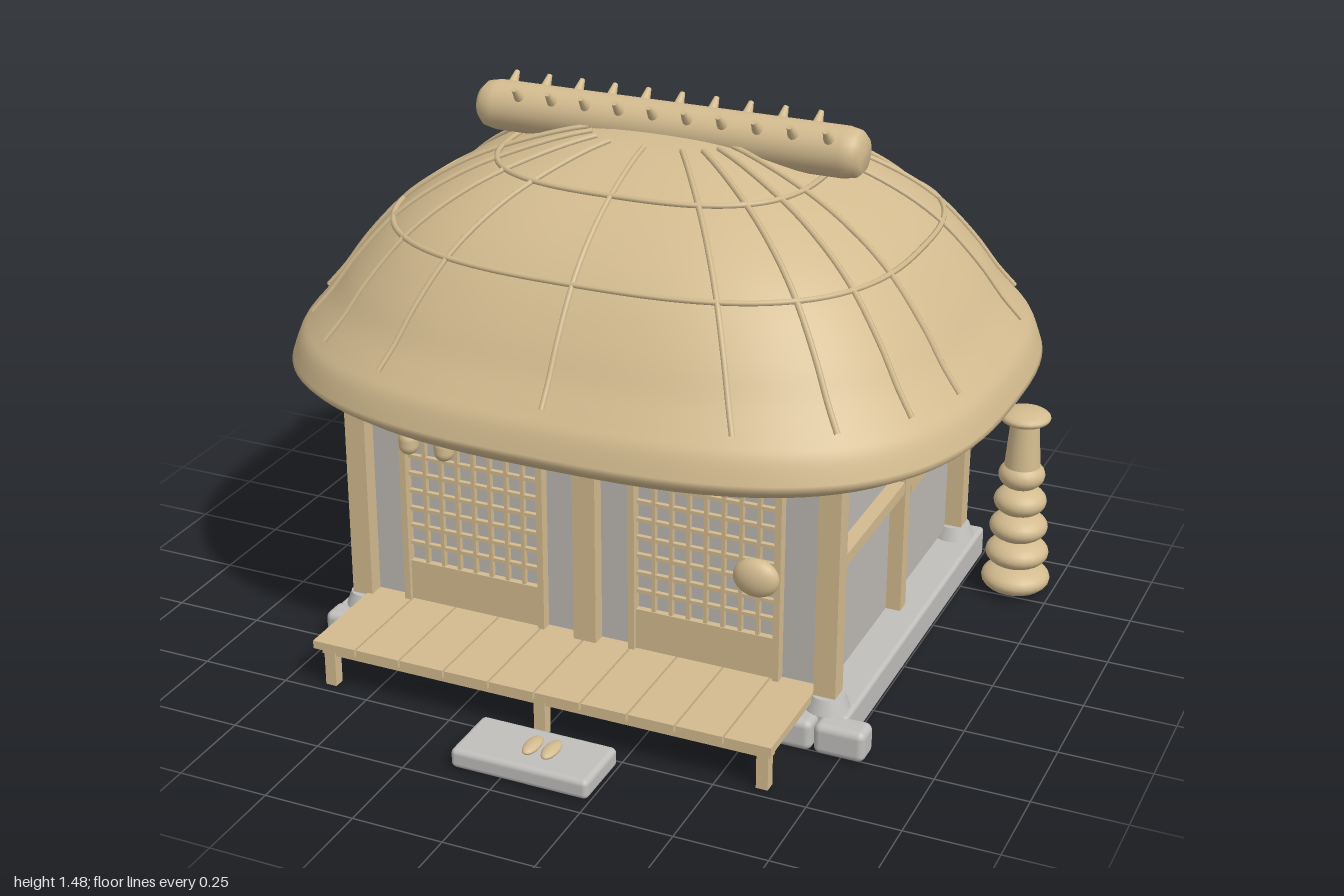
import * as THREE from 'three';
import { mergeVertices } from 'three/addons/utils/BufferGeometryUtils.js';
import { RoundedBoxGeometry } from 'three/addons/geometries/RoundedBoxGeometry.js';

const mat = (name, color) => Object.assign(new THREE.MeshStandardMaterial({ color }), { name });
const straw = mat('straw and wood', 0xd3bb8f);
const plaster = mat('plaster', 0xbdbab4);
const stone = mat('stone', 0xc0bfbc);
const CZ = -0.11; // roof centre in z

export function createModel() {
  const model = new THREE.Group();
  model.name = 'thatchedCottage';

  const group = (name) => {
    const g = new THREE.Group();
    g.name = name;
    model.add(g);
    return g;
  };
  const add = (parent, name, geo, m, x = 0, y = 0, z = 0) => {
    const mesh = new THREE.Mesh(geo, m);
    mesh.name = name;
    mesh.position.set(x, y, z);
    parent.add(mesh);
    return mesh;
  };
  // box given by its limits
  const box = (parent, name, m, x0, x1, y0, y1, z0, z1, r = 0) => {
    const [w, h, d] = [x1 - x0, y1 - y0, z1 - z0];
    const geo = r ? new RoundedBoxGeometry(w, h, d, 3, r) : new THREE.BoxGeometry(w, h, d);
    return add(parent, name, geo, m, (x0 + x1) / 2, (y0 + y1) / 2, (z0 + z1) / 2);
  };
  const ball = (parent, name, m, x, y, z, rx, ry, rz) => {
    const b = add(parent, name, new THREE.SphereGeometry(1, 24, 16), m, x, y, z);
    b.scale.set(rx, ry, rz);
    return b;
  };

  // --- thatched roof: a lathe squared off into a rounded rectangle
  const soft = (v) => Math.sign(v) * Math.abs(v) ** 0.714;
  const roofPoint = (s, a, y) =>
    new THREE.Vector3(0.988 * s * soft(Math.sin(a)), y, CZ + 0.835 * s * soft(Math.cos(a)));
  const v2 = (p) => new THREE.Vector2(...p);
  const slope = new THREE.SplineCurve([[1, 0.8], [0.975, 0.87], [0.94, 0.915], [0.885, 0.98], [0.82, 1.07],
    [0.72, 1.18], [0.6, 1.267], [0.447, 1.34], [0.22, 1.405], [0, 1.42]].map(v2)).getPoints(40);
  const under = [[0, 0.94], [0.5, 0.92], [0.7, 0.86], [0.82, 0.785], [0.87, 0.755], [0.9, 0.748],
    [0.94, 0.757], [0.985, 0.785]].map(v2);
  const roofGeo = new THREE.LatheGeometry([...under, ...slope], 96);
  const rp = roofGeo.attributes.position;
  for (let i = 0; i < rp.count; i++) {
    const [x, y, z] = [rp.getX(i), rp.getY(i), rp.getZ(i)];
    const p = roofPoint(Math.hypot(x, z), Math.atan2(x, z), y);
    rp.setXYZ(i, p.x, p.y, p.z);
  }
  roofGeo.deleteAttribute('uv');
  roofGeo.deleteAttribute('normal');
  const roofSmooth = mergeVertices(roofGeo, 1e-5);
  roofSmooth.computeVertexNormals();
  const roof = group('roof');
  add(roof, 'thatch', roofSmooth, straw);

  // ropes lying on the thatch
  const slopeY = (s) => {
    const i = slope.findIndex((p) => p.x <= s);
    const a = slope[Math.max(i - 1, 0)], b = slope[i];
    return a === b ? b.y : THREE.MathUtils.lerp(a.y, b.y, (a.x - s) / (a.x - b.x));
  };
  const rope = (name, pts, closed) =>
    add(roof, name, new THREE.TubeGeometry(new THREE.CatmullRomCurve3(pts, closed), closed ? 120 : 32, 0.008, 6, closed), straw);
  const sideAngles = [24, 44, 62, 77, 103, 122, 142, 162];
  for (const deg of [0, 180, ...sideAngles, ...sideAngles.map((d) => -d)]) {
    const pts = [];
    for (let i = 0; i <= 14; i++) {
      const s = 0.2 + (0.74 * i) / 14;
      pts.push(roofPoint(s, THREE.MathUtils.degToRad(deg), slopeY(s) + 0.004));
    }
    rope('downRope', pts, false);
  }
  for (const s of [0.447, 0.72]) {
    const pts = [];
    for (let i = 0; i < 80; i++) pts.push(roofPoint(s, (i / 80) * Math.PI * 2, slopeY(s) + 0.005));
    rope('ringRope', pts, true);
  }

  // --- ridge log with pegs on both shoulders
  const ridge = group('ridge');
  const logProfile = [[0, -0.555], [0.045, -0.552], [0.062, -0.535], [0.069, -0.5],
    [0.069, 0.5], [0.062, 0.535], [0.045, 0.552], [0, 0.555]].map(v2);
  add(ridge, 'ridgeLog', new THREE.LatheGeometry(logProfile, 28), straw, -0.003, 1.415, CZ).rotation.z = -Math.PI / 2;
  for (const side of [1, -1]) {
    for (let i = 0; i < 10; i++) {
      const x = (side > 0 ? -0.42 : -0.49) + i * 0.0985;
      const peg = add(ridge, 'peg', new THREE.CylinderGeometry(0.007, 0.018, 0.055, 10), straw,
        x, 1.47, CZ + side * 0.06);
      peg.rotation.x = side * 0.8;
    }
  }

  // --- walls raised clear of the foundation
  const walls = group('walls');
  box(walls, 'wallBlock', plaster, -0.66, 0.66, 0.125, 0.88, -0.625, 0.4);

  // --- foundation slab and the front row of stones
  const base = group('foundation');
  box(base, 'slab', stone, -0.75, 0.75, 0.01, 0.102, -0.72, 0.46, 0.012);
  for (let i = 0; i < 11; i++) {
    const x = -0.765 + i * 0.144;
    box(base, 'edgeStone', stone, x, x + 0.14, 0.01, 0.097, 0.435, 0.515, 0.02);
  }

  // --- timber frame
  const frame = group('timberFrame');
  for (const x of [-0.68, 0.68]) {
    for (const z of [0.417, -0.64]) {
      box(frame, 'cornerPost', straw, x - 0.03, x + 0.03, 0.13, 0.86, z - 0.028, z + 0.028);
      add(frame, 'postStone', new THREE.CylinderGeometry(0.045, 0.06, 0.04, 20), stone, x, 0.12, z);
    }
    box(frame, 'sideRail', straw, x - 0.02, x + 0.02, 0.483, 0.517, -0.62, 0.4);
    box(frame, 'sidePost', straw, x - 0.022, x + 0.022, 0.125, 0.86, -0.135, -0.092);
    const plate = add(frame, 'sidePlate', new THREE.CylinderGeometry(0.035, 0.035, 1.2, 16), straw, x, 0.81, CZ);
    plate.rotation.x = Math.PI / 2;
  }
  box(frame, 'frontPost', straw, -0.035, 0.03, 0.125, 0.86, 0.39, 0.44);
  box(frame, 'backRail', straw, -0.66, 0.66, 0.483, 0.517, -0.66, -0.62);
  for (const z of [0.417, -0.64]) {
    const plate = add(frame, 'crossPlate', new THREE.CylinderGeometry(0.035, 0.035, 1.52, 16), straw, 0, 0.8, z);
    plate.rotation.z = Math.PI / 2;
  }

  // --- lattice doors
  for (const x0 of [-0.555, 0.12]) {
    const door = group('latticeDoor');
    const x1 = x0 + 0.427;
    for (const x of [x0, x1 - 0.018]) box(door, 'stile', straw, x, x + 0.018, 0.145, 0.7, 0.39, 0.43);
    box(door, 'topRail', straw, x0, x1, 0.68, 0.7, 0.39, 0.432);
    box(door, 'lowerPanel', straw, x0 + 0.018, x1 - 0.018, 0.145, 0.262, 0.39, 0.418);
    for (let i = 1; i < 8; i++) {
      const x = x0 + 0.018 + (i * 0.391) / 8;
      const y = 0.262 + (i * 0.418) / 8;
      box(door, 'latticeUpright', straw, x - 0.005, x + 0.005, 0.26, 0.69, 0.395, 0.415);
      box(door, 'latticeBar', straw, x0 + 0.01, x1 - 0.01, y - 0.005, y + 0.005, 0.395, 0.413);
    }
  }

  // --- lattice windows on both sides
  for (const s of [-1, 1]) {
    const win = group('sideWindow');
    const bar = (name, y0, y1, z0, z1, out) =>
      box(win, name, straw, s * 0.67 - out, s * 0.67 + out, y0, y1, z0, z1);
    bar('windowHead', 0.668, 0.69, -0.435, -0.152, 0.03);
    bar('windowSill', 0.46, 0.483, -0.435, -0.152, 0.03);
    for (const z of [-0.43, -0.17]) bar('windowJamb', 0.47, 0.68, z, z + 0.014, 0.022);
    for (let i = 1; i < 6; i++) {
      const z = -0.423 + (i * 0.26) / 6;
      bar('windowUpright', 0.515, 0.67, z - 0.005, z + 0.005, 0.012);
    }
    for (let i = 1; i < 4; i++) bar('windowBar', 0.512 + i * 0.039, 0.522 + i * 0.039, -0.42, -0.165, 0.01);
  }

  // --- veranda of planks on legs
  const deck = group('veranda');
  for (let i = 0; i < 10; i++) {
    const x = -0.665 + i * 0.132;
    box(deck, 'plank', straw, x, x + 0.126, 0.122, 0.145, 0.38, 0.735);
  }
  box(deck, 'deckBeam', straw, -0.65, 0.64, 0.1, 0.122, 0.685, 0.715);
  for (const x of [-0.625, 0, 0.62]) box(deck, 'deckLeg', straw, x - 0.016, x + 0.016, 0.01, 0.122, 0.688, 0.72);

  // --- stepping stone with a pair of sandals
  const step = group('step');
  box(step, 'stepStone', stone, -0.14, 0.245, 0.01, 0.065, 0.765, 0.95, 0.015);
  for (const x of [0.052, 0.105]) ball(step, 'sandal', straw, x, 0.075, 0.862, 0.021, 0.012, 0.045);

  // --- round basket on the wall and two hanging gourds
  ball(model, 'wallBasket', straw, 0.49, 0.45, 0.453, 0.063, 0.053, 0.033);
  for (const x of [-0.47, -0.365]) {
    const hang = group('hangingGourd');
    add(hang, 'gourdBody', new THREE.CapsuleGeometry(0.027, 0.016, 8, 16), straw, x, 0.677, 0.52);
    add(hang, 'gourdCord', new THREE.CylinderGeometry(0.004, 0.004, 0.14, 6), straw, x, 0.77, 0.52);
  }

  // --- stacked jar tower beside the house
  const tower = group('stackedJar');
  [0.098, 0.09, 0.083, 0.075, 0.066].forEach((r, i) =>
    ball(tower, 'jarRing', straw, 0.897, 0.055 + i * 0.081, -0.55, r, 0.045, r));
  add(tower, 'jarNeck', new THREE.CylinderGeometry(0.04, 0.051, 0.14, 24), straw, 0.897, 0.475, -0.55);
  ball(tower, 'jarLip', straw, 0.897, 0.557, -0.55, 0.072, 0.024, 0.072);

  // set the lowest parts on the ground
  const bounds = new THREE.Box3().setFromObject(model);
  for (const part of model.children) part.position.y -= bounds.min.y;
  return model;
}
